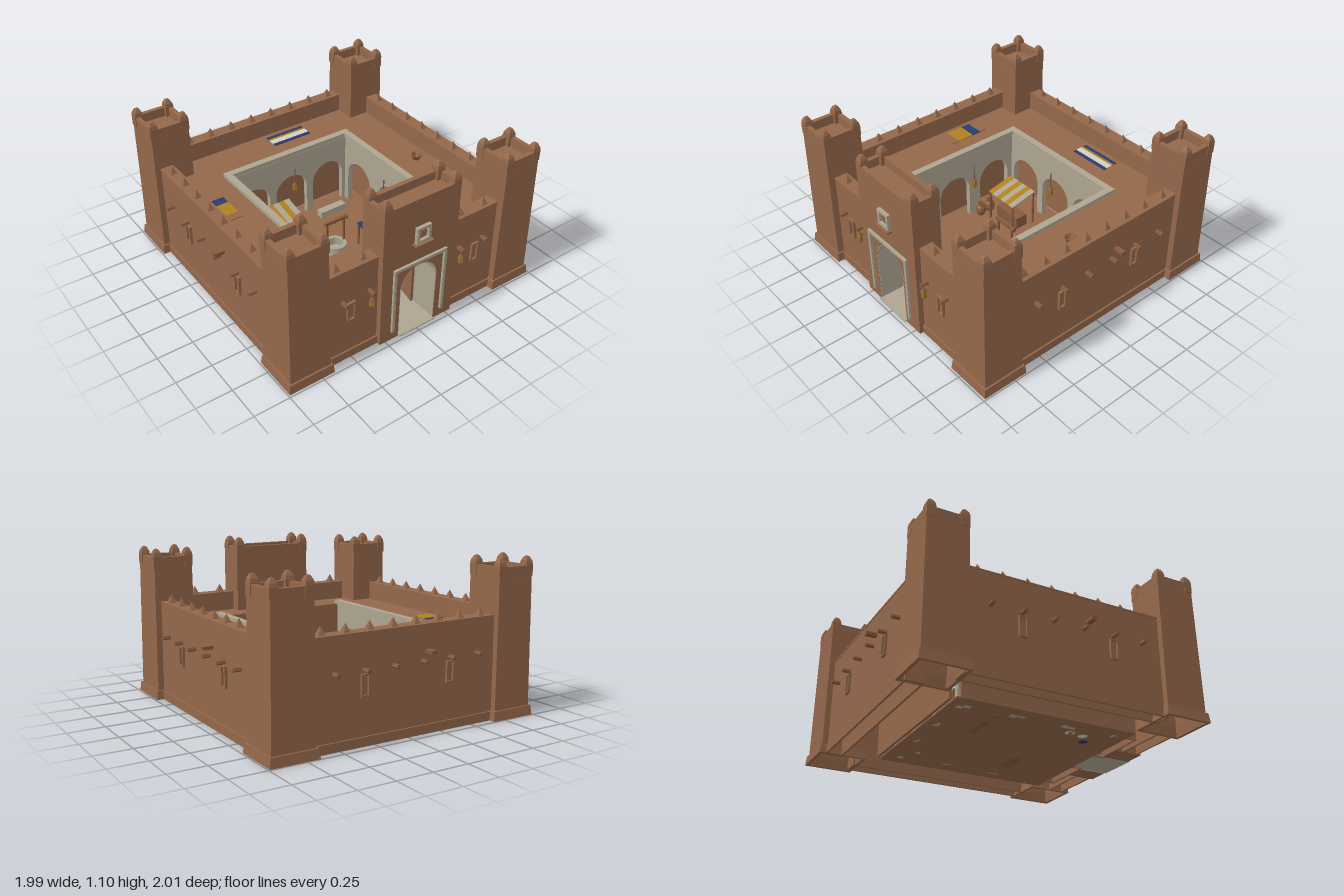
import * as THREE from 'three';

const mat = (name, color, side = THREE.FrontSide) => {
  const m = new THREE.MeshStandardMaterial({ color, side });
  m.name = name;
  return m;
};

export function createModel() {
  const clay = mat('clay', 0x93674a, THREE.DoubleSide), plaster = mat('plaster', 0xada591);
  const wood = mat('wood', 0x875a3c), blue = mat('blue cloth', 0x2a3b70), yellow = mat('yellow cloth', 0xb0801e);
  const linen = mat('linen', 0xd2cec2), brass = mat('brass', 0x9c7422);
  const root = new THREE.Group();
  root.name = 'fortress';

  // ---- helpers ----
  const add = (name, geo, m, x = 0, y = 0, z = 0, parent = root) => {
    const mesh = new THREE.Mesh(geo, m);
    mesh.name = name;
    mesh.position.set(x, y, z);
    parent.add(mesh);
    return mesh;
  };
  const group = (name, x = 0, y = 0, z = 0, ry = 0) => {
    const g = new THREE.Group();
    g.name = name;
    g.position.set(x, y, z);
    g.rotation.y = ry;
    root.add(g);
    return g;
  };
  const flat = (g) => {
    const n = g.toNonIndexed();
    n.computeVertexNormals();
    return n;
  };
  // box standing on y = 0
  const box = (w, h, d) => new THREE.BoxGeometry(w, h, d).translate(0, h / 2, 0);
  // the same box with its underside left open
  const shell = (w, h, d) => {
    const g = box(w, h, d);
    g.setIndex([...g.index.array].filter((_, i) => i < 18 || i >= 24));
    return g;
  };
  const lathe = (pts, n, start = 0) =>
    flat(new THREE.LatheGeometry(pts.map((p) => new THREE.Vector2(...p)), n, start));
  const extrude = (shape, depth) =>
    new THREE.ExtrudeGeometry(shape, { depth, bevelEnabled: false, curveSegments: 16 });
  const poly = (pts) => new THREE.Shape(pts.map((p) => new THREE.Vector2(...p)));
  // plan outline in (x, z) raised to a height; the hole runs the opposite way round
  const plan = (pts, h, hole) => {
    const s = poly(pts.map(([x, z]) => [x, -z]));
    if (hole) s.holes.push(poly(hole.map(([x, z]) => [x, -z]).reverse()));
    return extrude(s, h).rotateX(-Math.PI / 2);
  };
  const rect = (w, h) => [[-w / 2, -h / 2], [w / 2, -h / 2], [w / 2, h / 2], [-w / 2, h / 2]];
  const frame = (w, h, bar, depth) => {
    const s = poly(rect(w, h));
    s.holes.push(poly(rect(w - 2 * bar, h - 2 * bar)));
    return extrude(s, depth);
  };
  const ring = (w, d, bar, h) => plan(rect(w, d), h, rect(w - 2 * bar, d - 2 * bar));
  const taper = (g, h, sx, sz) => {
    const p = g.attributes.position;
    for (let i = 0; i < p.count; i++) {
      const k = p.getY(i) / h;
      p.setX(i, p.getX(i) * (1 - (1 - sx) * k));
      p.setZ(i, p.getZ(i) * (1 - (1 - sz) * k));
    }
    g.computeVertexNormals();
    return g;
  };
  // wall with round arches that open to the ground
  const archWall = (w, h, depth, centres, r, spring) => {
    const s = new THREE.Shape();
    s.moveTo(-w / 2, 0);
    for (const c of centres) {
      s.lineTo(c - r, 0);
      s.lineTo(c - r, spring);
      s.absarc(c, spring, r, Math.PI, 0, true);
      s.lineTo(c + r, 0);
    }
    s.lineTo(w / 2, 0);
    s.lineTo(w / 2, h);
    s.lineTo(-w / 2, h);
    return extrude(s, depth);
  };

  const finial = lathe([[0, 0], [.042, 0], [.042, .075], [.036, .1], [.018, .125], [0, .132]], 4, Math.PI / 4);
  const merlon = lathe([[0, 0], [.036, 0], [0, .06]], 4, Math.PI / 4);
  const peg = flat(new THREE.CylinderGeometry(.015, .015, .08, 5)).rotateX(Math.PI / 2);

  // ---- corner towers ----
  for (const x of [-.825, .825]) for (const z of [-.83, .82]) {
    const t = group('cornerTower', x, 0, z);
    add('towerPlinth', taper(ring(.33, .33, .022, .065), .065, .96, .96), clay, 0, 0, 0, t);
    add('towerBody', taper(shell(.295, .935, .295), .935, .94, .94), clay, 0, 0, 0, t);
    add('towerParapet', ring(.277, .277, .032, .07), clay, 0, .93, 0, t);
    for (const i of [-1, 1]) for (const j of [-1, 1])
      add('towerFinial', finial, clay, i * .114, .93, j * .111, t);
  }

  // ---- curtain walls with merlons, beam ends, slits and spouts ----
  const lantern = (x, y, z, chain) => {
    const g = group('lantern', x, y, z);
    add('lanternBody', lathe([[0, 0], [.016, .003], [.02, .01], [.02, .05], [0, .055]], 6), brass, 0, 0, 0, g);
    add('lanternCap', lathe([[0, .05], [.023, .05], [.006, .075], [0, .075]], 6), wood, 0, 0, 0, g);
    add('lanternChain', box(.006, chain, .006), wood, 0, .07, 0, g);
  };
  const wall = (name, x, z, ry, isFront) => {
    const g = group(name, x, 0, z, ry);
    for (const [c, w] of isFront ? [[-.48, .39], [.48, .39]] : [[0, 1.4]]) {
      add('wallBody', taper(shell(w, .69, .1), .69, 1, .88), clay, c, 0, -.047, g);
      add('wallPlinth', ring(w, .122, .014, .06), clay, c, 0, -.047, g);
      add('wallCoping', box(w, .012, .096), clay, c, .683, -.047, g);
    }
    const merlons = isFront ? [-.585, -.385, .385, .585] : [-3.5, -2.5, -1.5, -.5, .5, 1.5, 2.5, 3.5].map((k) => k * .171);
    for (const m of merlons) add('merlon', merlon, clay, m, .692, -.047, g);
    for (const p of isFront ? [-.56, -.36, .36, .56] : [-.535, -.322, -.108, .108, .322, .535])
      add('beamEnd', peg, wood, p, .467, .015, g);
    for (const s of isFront ? [-.5, .5] : [-.32, .32]) {
      add('slitFrame', frame(.06, .14, .011, .022), clay, s, .375, -.005, g);
      add('slitPanel', box(.04, .12, .006), clay, s, .315, 0, g);
    }
    if (!isFront) add('waterSpout', box(.035, .022, .09), wood, .145, .515, .025, g);
  };
  wall('frontWall', 0, .92, 0, true);
  wall('backWall', 0, -.935, Math.PI, false);
  wall('leftWall', .927, 0, Math.PI / 2, false);
  wall('rightWall', -.927, 0, -Math.PI / 2, false);
  for (const x of [-.36, .36]) lantern(x, .36, .955, .04);

  // ---- gatehouse ----
  const gate = group('gatehouse', 0, 0, .855);
  add('gateBody', archWall(.59, .97, .205, [0], .148, .38), clay, 0, 0, -.1, gate);
  add('gateParapet', ring(.588, .205, .032, .06), clay, 0, .97, .0025, gate);
  for (const i of [-1, 1]) for (const j of [-1, 1])
    add('gateFinial', finial, clay, i * .265, .968, j * .075, gate);
  const lining = new THREE.Shape();
  lining.moveTo(-.148, 0).lineTo(-.148, .38).absarc(0, .38, .148, Math.PI, 0, true);
  lining.lineTo(.148, 0).lineTo(.143, 0).lineTo(.143, .38).absarc(0, .38, .143, 0, Math.PI, false);
  lining.lineTo(-.143, 0);
  add('passageLining', extrude(lining, .203), plaster, 0, 0, -.099, gate);
  for (const s of [-1, 1]) add('doorSurround', box(.02, .5, .025), plaster, s * .2, .07, .11, gate);
  add('doorSurroundTop', box(.42, .02, .025), plaster, 0, .55, .11, gate);
  add('windowFrame', frame(.11, .115, .02, .025), plaster, 0, .772, .104, gate);
  add('windowPanel', box(.07, .075, .01), clay, 0, .735, .104, gate);
  add('windowLattice', box(.006, .07, .008), wood, 0, .737, .11, gate);
  add('windowLattice', box(.07, .006, .008), wood, 0, .77, .11, gate);
  add('windowSill', box(.14, .014, .05), clay, 0, .7, .12, gate);

  // ---- roof terrace around the courtyard ----
  add('roof', plan([[-.88, -.87], [.88, -.87], [.88, .86], [-.88, .86]], .04,
    [[-.5, -.5], [.5, -.5], [.5, .615], [.153, .615], [.122, .765], [-.122, .765], [-.153, .615], [-.5, .615]]),
  clay, 0, .52, 0);
  for (const s of [-1, 1]) {
    const side = (pts) => pts.map(([x, z]) => [s * x, z]);
    add('gateRoom', plan(side([[.153, .612], [.52, .612], [.52, .76], [.122, .76]]), .555,
      side([[.163, .624], [.508, .624], [.508, .748], [.137, .748]])), clay);
  }
  add('courtyardRim', plan([[-.53, -.54], [.53, -.54], [.53, .64], [.482, .64], [.482, -.49], [-.482, -.49],
    [-.482, .64], [-.53, .64]], .03), plaster, 0, .557, 0);

  // ---- courtyard arcades with recesses behind ----
  const arcade = (w, x, z, ry, step) => {
    const g = group('arcade', x, 0, z, ry);
    add('arcadeWall', archWall(w, .557, .04, [-step, 0, step], .135, .255), plaster, 0, 0, -.04, g);
    add('recessWall', box(w + .14, .54, .02), clay, 0, 0, -.12, g);
  };
  arcade(1, 0, -.488, 0, .325);
  arcade(1.1, -.488, .06, Math.PI / 2, .37);
  arcade(1.1, .488, .06, -Math.PI / 2, .37);
  lantern(0, .29, -.44, .12);
  lantern(.435, .29, .05, .12);
  lantern(-.435, .29, -.08, .12);
  add('courtyardFloor', box(1.22, .008, 1.27), clay, 0, 0, .05);
  add('gatePath', box(.29, .008, .375), plaster, 0, .004, .79);

  // ---- well ----
  const well = group('well', .035, 0, .02);
  add('wellRing', lathe([[.08, 0], [.08, .08], [.055, .08], [.055, .02], [0, .02]], 16), plaster, 0, 0, 0, well);
  for (const s of [-1, 1]) add('wellPost', box(.014, .28, .014), wood, s * .072, 0, 0, well);
  add('wellBeam', box(.19, .02, .02), wood, 0, .265, 0, well);
  add('wellCrank', flat(new THREE.CylinderGeometry(.018, .018, .02, 8)).rotateZ(Math.PI / 2), wood, .09, .275, 0, well);
  add('wellRope', box(.005, .025, .005), wood, 0, .245, 0, well);

  // ---- market stalls with striped awnings ----
  const stall = (x, z, w, d, colour) => {
    const g = group('stall', x, 0, z);
    const n = 6, tilt = .2, awning = new THREE.Group();
    awning.name = 'awning';
    awning.position.y = .262;
    awning.rotation.x = tilt;
    g.add(awning);
    for (let i = 0; i < n; i++)
      add('awningStripe', box(w / n, .008, d), i % 2 ? plaster : colour, (i + .5) * w / n - w / 2, 0, 0, awning);
    for (const i of [-1, 1]) for (const j of [-1, 1])
      add('stallPost', box(.012, .262 - j * tilt * d * .45, .012), wood, i * (w / 2 - .01), 0, j * (d / 2 - .01), g);
    add('stallCounter', box(w * .85, .1, d * .45), wood, 0, 0, 0, g);
  };
  stall(-.235, -.272, .27, .22, yellow);
  stall(.255, .258, .25, .23, blue);

  // ---- courtyard goods ----
  const jar = lathe([[0, 0], [.024, 0], [.04, .045], [.036, .075], [.02, .095], [.028, .11], [.016, .11], [.012, .08], [0, .08]], 8);
  for (const [x, z] of [[-.44, -.225], [-.44, -.14], [.44, .165]]) add('jar', jar, wood, x, 0, z);
  const sack = lathe([[0, 0], [.036, 0], [.042, .035], [.026, .075], [0, .085]], 6);
  for (const [x, z, m] of [[-.43, .305, linen], [-.415, .41, linen], [-.33, .47, blue]]) add('sack', sack, m, x, 0, z);
  add('crate', box(.09, .08, .09), wood, .41, 0, .425).rotation.y = .25;
  add('bench', box(.22, .06, .06), plaster, .285, 0, -.38);

  // ---- roof rugs and bowl ----
  const band = (m, x0, x1, z0, z1) =>
    add('rugBand', box(x1 - x0, .008, z1 - z0), m, (x0 + x1) / 2, .558, (z0 + z1) / 2);
  band(clay, -.8, -.66, -.38, -.32);
  band(blue, -.8, -.66, -.32, -.25);
  band(yellow, -.8, -.66, -.25, -.12);
  band(clay, -.8, -.66, -.12, -.06);
  band(blue, -.015, .295, -.8, -.77);
  band(yellow, -.015, .295, -.77, -.75);
  band(linen, -.015, .295, -.75, -.7);
  band(blue, -.015, .295, -.7, -.675);
  add('roofBowl', lathe([[0, 0], [.022, 0], [.042, .04], [.034, .04], [.018, .012], [0, .012]], 10), wood, .72, .558, .06);

  return root;
}
